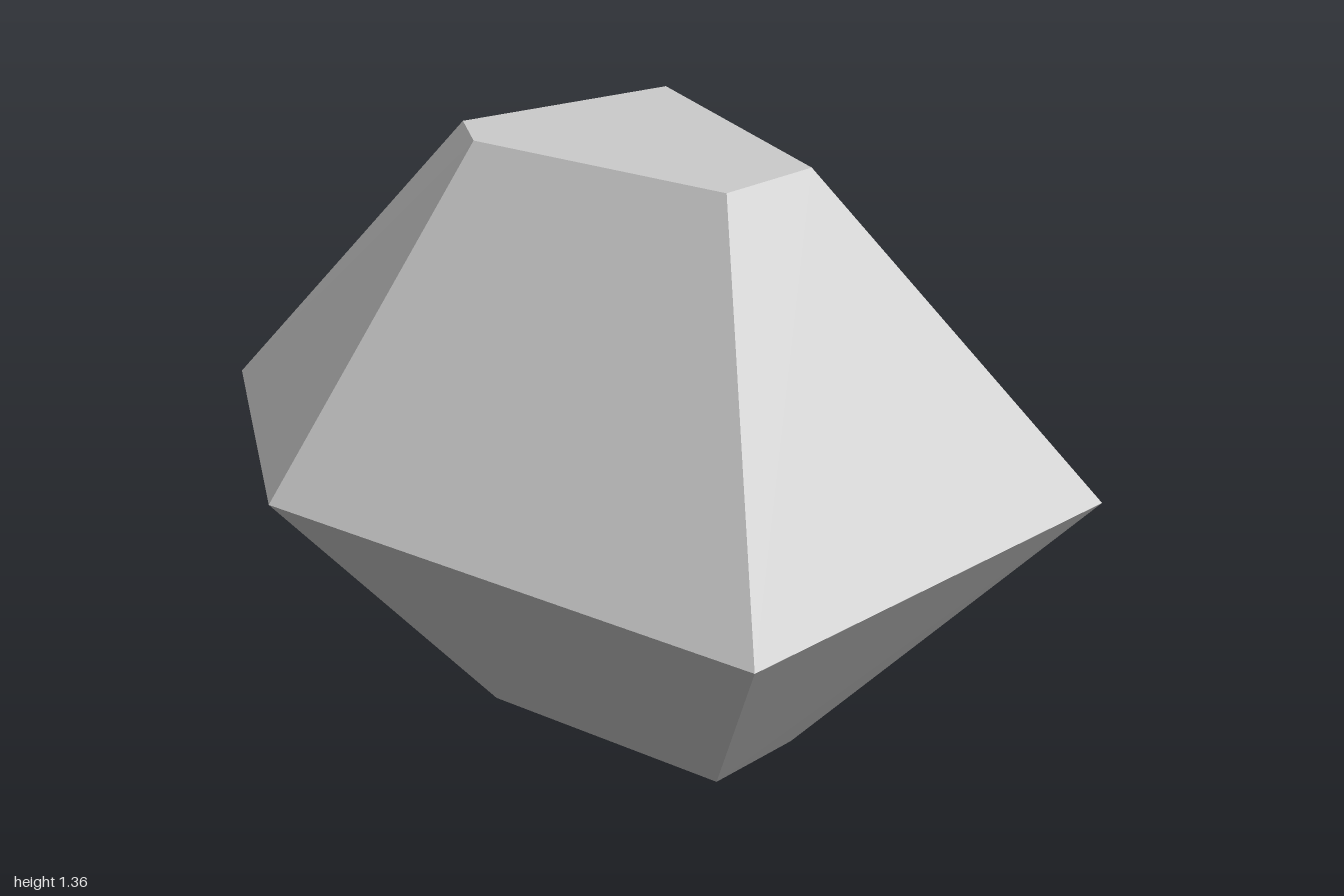
import * as THREE from 'three';

const HEIGHT = 1.36;

// Outlines as [x, z], listed clockwise seen from above
const girdleOutline = [[0, -1], [1, 0.2], [0.425, 0.995], [-0.665, 0.61], [-1, 0]];
const tableOutline = [[-0.035, -0.27], [0.375, 0.22], [0.243, 0.41], [-0.327, 0.21], [-0.392, 0.085]];

const ring = (outline, y) => outline.map(([x, z]) => [x, y, z]);

function facets(triangles) {
  const geometry = new THREE.BufferGeometry();
  geometry.setAttribute('position', new THREE.Float32BufferAttribute(triangles.flat(2), 3));
  geometry.computeVertexNormals();
  return geometry;
}

// Sloping facets between two rings
function band(low, high) {
  return low.flatMap((a, i) => {
    const j = (i + 1) % low.length;
    return [[low[j], a, high[i]], [low[j], high[i], high[j]]];
  });
}

// Flat cap, facing up or down
function cap(points, up) {
  const triangles = [];
  for (let i = 1; i < points.length - 1; i++) {
    triangles.push(up ? [points[0], points[i + 1], points[i]] : [points[0], points[i], points[i + 1]]);
  }
  return triangles;
}

export function createModel() {
  const group = new THREE.Group();
  group.name = 'cutStone';
  const stone = new THREE.MeshStandardMaterial({ color: 0xcccccc });
  stone.name = 'pale grey stone';

  const base = ring(tableOutline, 0);
  const girdle = ring(girdleOutline, HEIGHT / 2);
  const table = ring(tableOutline, HEIGHT);

  const parts = {
    upperFacets: band(girdle, table),
    lowerFacets: band(base, girdle),
    topFace: cap(table, true),
    bottomFace: cap(base, false),
  };
  for (const [name, triangles] of Object.entries(parts)) {
    const mesh = new THREE.Mesh(facets(triangles), stone);
    mesh.name = name;
    group.add(mesh);
  }
  return group;
}
